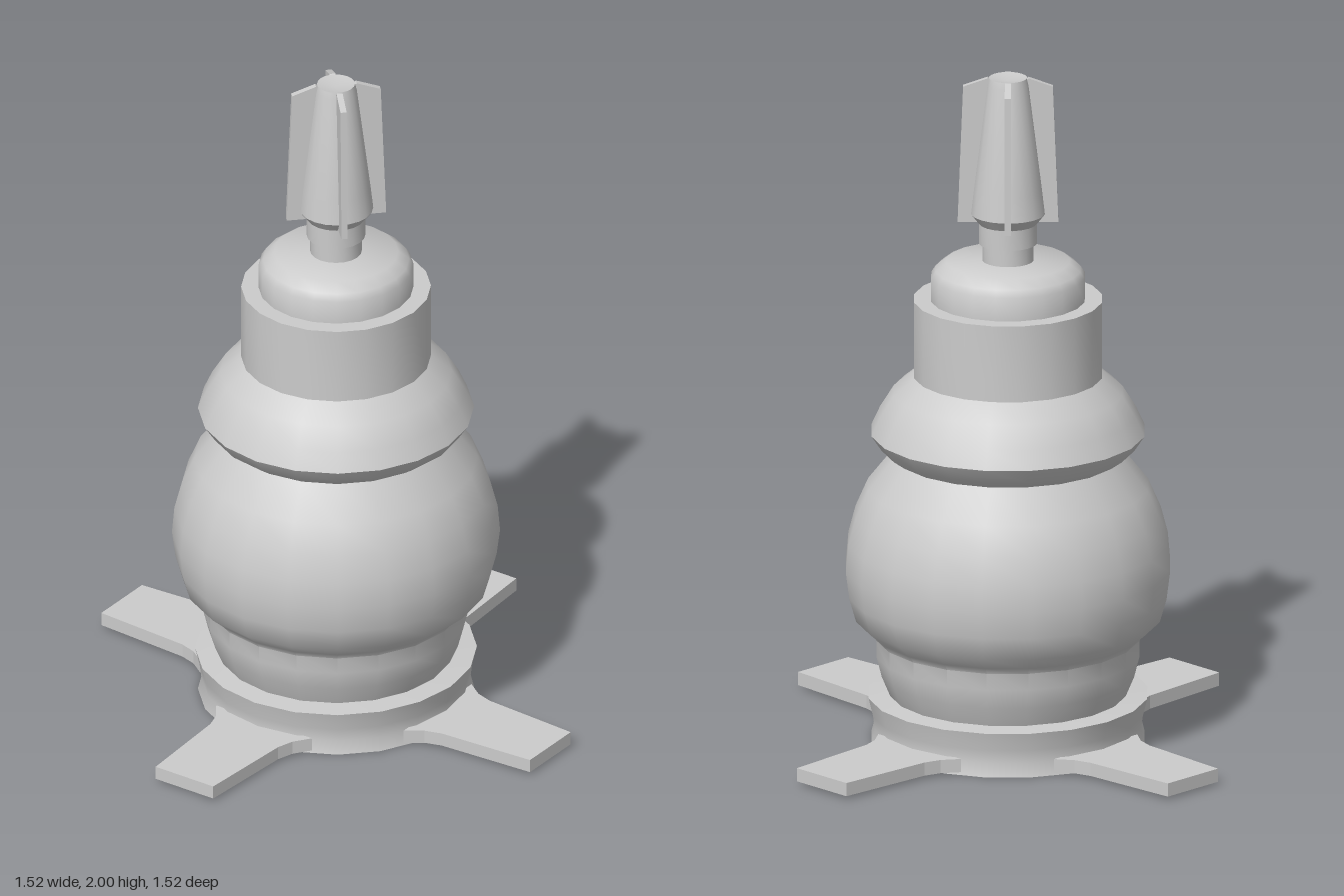
import * as THREE from 'three';
import { toCreasedNormals } from 'three/addons/utils/BufferGeometryUtils.js';

const SIDES = 20;
const material = new THREE.MeshStandardMaterial({ color: 0xcccccc, side: THREE.DoubleSide });

function addMesh(parent, name, geometry) {
  const mesh = new THREE.Mesh(geometry, material);
  mesh.name = name;
  parent.add(mesh);
  return mesh;
}

// Turned part from [radius, height] pairs, listed bottom to top
function turned(points, sides = SIDES) {
  const profile = points.map(([r, y]) => new THREE.Vector2(r, y));
  return toCreasedNormals(new THREE.LatheGeometry(profile, sides), 0.7);
}

// Plan outline of a foot, pointing along +y of the shape, flared at its root
function footOutline(inset) {
  const half = [[0.17, 0.36], [0.135, 0.41], [0.12, 0.46], [0.102, 0.76 - inset]];
  const right = half.map(([w, d]) => new THREE.Vector2(w - inset, d));
  const left = right.map((p) => new THREE.Vector2(-p.x, p.y)).reverse();
  return [...right, ...left];
}

// Flat slab from a shape, laid level between two heights
function slab(shape, y0, y1) {
  const geometry = new THREE.ExtrudeGeometry(shape, { depth: y1 - y0, bevelEnabled: false });
  return geometry.rotateX(-Math.PI / 2).translate(0, y0, 0);
}

export function createModel() {
  const model = new THREE.Group();
  model.name = 'turnedVessel';

  // Hollow base ring, open underneath
  addMesh(model, 'baseRing', turned([
    [0.4, 0], [0.39, 0.04], [0.395, 0.08], [0.408, 0.135], [0.345, 0.14],
  ]));

  // Round body on a flared waist
  addMesh(model, 'body', turned([
    [0.345, 0.14], [0.37, 0.2], [0.385, 0.26], [0.385, 0.31], [0.4, 0.33], [0.445, 0.37],
    [0.465, 0.44], [0.475, 0.52], [0.468, 0.6], [0.447, 0.68], [0.41, 0.765], [0.335, 0.86],
  ]));

  // Collar rising into a straight neck
  addMesh(model, 'collar', turned([
    [0.335, 0.86], [0.37, 0.885], [0.4, 0.93], [0.375, 0.985], [0.335, 1.05],
    [0.275, 1.1], [0.275, 1.33], [0.225, 1.33],
  ]));

  // Stepped cap and the stem on it
  addMesh(model, 'cap', turned([
    [0.225, 1.33], [0.225, 1.4], [0.212, 1.42], [0.18, 1.445], [0, 1.45],
  ]));
  addMesh(model, 'stem', turned([
    [0.075, 1.44], [0.075, 1.5], [0.085, 1.5], [0.085, 1.57],
  ]));

  // Tapered handle with four fins
  const handle = new THREE.Group();
  handle.name = 'handle';
  model.add(handle);
  addMesh(handle, 'handleCore', turned([
    [0, 1.56], [0.085, 1.56], [0.108, 1.59], [0.1, 1.66], [0.06, 1.98], [0.055, 2], [0, 1.99],
  ]));
  const finShape = new THREE.Shape([
    [0.04, 1.565], [0.146, 1.565], [0.13, 1.975], [0.06, 2], [0.03, 1.98],
  ].map(([x, y]) => new THREE.Vector2(x, y)));
  const finGeometry = new THREE.ExtrudeGeometry(finShape, { depth: 0.018, bevelEnabled: false });
  finGeometry.translate(0, 0, -0.009);

  // Feet: a thin top plate over a rim, hollow from below
  const plateGeometry = slab(new THREE.Shape(footOutline(0)), 0.035, 0.05);
  const rimShape = new THREE.Shape(footOutline(0));
  rimShape.holes.push(new THREE.Path(footOutline(0.015).reverse()));
  const rimGeometry = slab(rimShape, 0.01, 0.035);

  for (let i = 0; i < 4; i++) {
    const angle = (i * Math.PI) / 2;
    addMesh(handle, 'fin', finGeometry).rotation.y = angle + Math.PI / 4;

    const foot = new THREE.Group();
    foot.name = 'foot';
    foot.rotation.y = angle;
    addMesh(foot, 'footPlate', plateGeometry);
    addMesh(foot, 'footRim', rimGeometry);
    model.add(foot);
  }

  return model;
}
